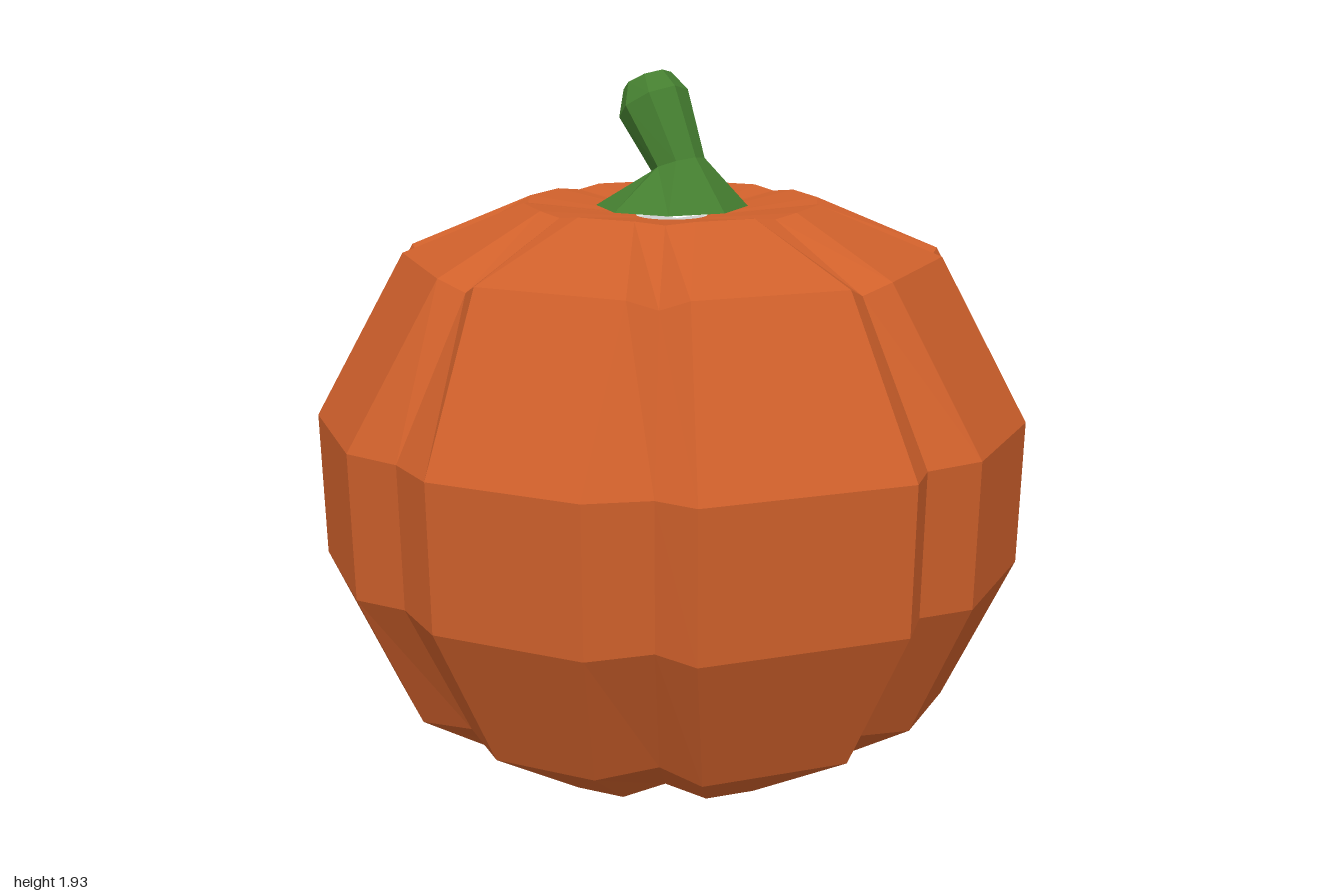
import * as THREE from 'three';

// Rings from bottom to top: height, ridge radius, ridge angle beside groove, groove radius, groove height
const RINGS = [
  [0.09, 0.02, 15, 0.02, 0.09],
  [0.0, 0.47, 14, 0.41, 0.02],
  [0.2, 0.79, 12, 0.73, 0.22],
  [0.6, 0.98, 10, 0.93, 0.61],
  [1.0, 0.99, 10, 0.94, 1.0],
  [1.44, 0.745, 6, 0.71, 1.41],
  [1.58, 0.41, 11, 0.4, 1.57],
  [1.54, 0.1, 15, 0.1, 1.54],
];
const CORE = 0.88, MID = 0.8;

const mirror = (pts) => pts.map(([z, y]) => [-z, y]);
const span = (half) => [...half, ...mirror(half.slice(0, -1)).reverse()];

// Carved outlines as [z, y], with the smaller outline at the bottom of each cut
const eye = [[0.38, 1.24], [0.17, 1.0], [0.37, 0.95], [0.565, 1.02]];
const eyeIn = [[0.41, 1.16], [0.23, 1.02], [0.33, 0.98], [0.53, 1.03]];
const nose = [[0, 1.02], [0.18, 0.76], [0, 0.74], [-0.18, 0.76]];
const noseIn = [[0, 0.98], [0.07, 0.77], [0, 0.76], [-0.07, 0.77]];
const lipTop = span([[0.7, 0.69], [0.56, 0.61], [0.35, 0.56], [0.17, 0.605], [0, 0.57]]);
const lipLow = span([[0.75, 0.66], [0.52, 0.38], [0.3, 0.395], [0.15, 0.3], [0, 0.35]]);
const lipTopIn = span([[0.66, 0.66], [0.54, 0.61], [0.35, 0.56], [0.17, 0.605], [0, 0.57]]);
const lipLowIn = span([[0.65, 0.62], [0.57, 0.44], [0.27, 0.42], [0.12, 0.36], [0, 0.4]]);

// Lobed shell as a list of triangles
function shellTriangles() {
  const rows = RINGS.map(([y, r, off, gr, gy], i) => Array.from({ length: 24 }, (_, j) => {
    const lobe = Math.floor(j / 3), k = j % 3;
    const swollen = (lobe === 2 || lobe === 5) && i >= 2 && i <= 4;
    const o = swollen ? (i === 2 ? 8 : 6) : off;
    const a = THREE.MathUtils.degToRad(lobe * 45 + [0, o, 45 - o][k]);
    const rad = k ? r + (swollen ? 0.015 : 0) : gr;
    return new THREE.Vector3(rad * Math.cos(a), k ? y : gy, rad * Math.sin(a));
  }));
  const tris = [];
  for (let i = 0; i < rows.length - 1; i++) {
    for (let j = 0; j < 24; j++) {
      const n = (j + 1) % 24;
      const a = rows[i][j], b = rows[i + 1][j], c = rows[i + 1][n], d = rows[i][n];
      tris.push([a, b, c], [a, c, d]);
    }
  }
  return tris;
}

// x of the shell's face side at (z, y)
function faceX(tris, z, y) {
  let best = 0;
  for (const [a, b, c] of tris) {
    const d = (b.z - a.z) * (c.y - a.y) - (c.z - a.z) * (b.y - a.y);
    if (Math.abs(d) < 1e-9) continue;
    const u = ((z - a.z) * (c.y - a.y) - (c.z - a.z) * (y - a.y)) / d;
    const v = ((b.z - a.z) * (y - a.y) - (z - a.z) * (b.y - a.y)) / d;
    if (u < -1e-6 || v < -1e-6 || u + v > 1 + 1e-6) continue;
    best = Math.max(best, a.x + u * (b.x - a.x) + v * (c.x - a.x));
  }
  return best;
}

// Part of a polygon where side(p) * sign >= 0
function clip(poly, side, sign) {
  const out = [];
  poly.forEach((p, i) => {
    const q = poly[(i + 1) % poly.length], s = side(p) * sign, t = side(q) * sign;
    if (s >= 0) out.push(p);
    if ((s > 0 && t < 0) || (s < 0 && t > 0)) out.push(p.clone().lerp(q, s / (s - t)));
  });
  return out;
}

// Cut a convex (z, y) hole out of a polygon, leaving the outside pieces
function subtract(poly, hole) {
  let area = 0;
  hole.forEach(([z, y], i) => {
    const [z2, y2] = hole[(i + 1) % hole.length];
    area += z * y2 - z2 * y;
  });
  const pieces = [];
  let rest = poly;
  for (let i = 0; i < hole.length && rest.length > 2; i++) {
    const [z, y] = hole[i], [z2, y2] = hole[(i + 1) % hole.length];
    const side = (p) => ((z2 - z) * (p.y - y) - (y2 - y) * (p.z - z)) * Math.sign(area);
    const outside = clip(rest, side, -1);
    if (outside.length > 2) pieces.push(outside);
    rest = clip(rest, side, 1);
  }
  return rest.length > 2 ? pieces : [poly];
}

function meshOf(name, polys, color, side = THREE.FrontSide) {
  const pos = [];
  for (const p of polys) {
    for (let i = 1; i < p.length - 1; i++) {
      for (const v of [p[0], p[i], p[i + 1]]) pos.push(v.x, v.y, v.z);
    }
  }
  const geo = new THREE.BufferGeometry();
  geo.setAttribute('position', new THREE.Float32BufferAttribute(pos, 3));
  geo.computeVertexNormals();
  const mesh = new THREE.Mesh(geo, new THREE.MeshStandardMaterial({ color, flatShading: true, side }));
  mesh.name = name;
  return mesh;
}

// Sloping sides of a cut, from the skin down to the core
function cutWalls(name, tris, outer, inner, color) {
  const quads = [], steps = 8;
  const mix = (a, b, t) => [a[0] + (b[0] - a[0]) * t, a[1] + (b[1] - a[1]) * t];
  const skin = ([z, y]) => new THREE.Vector3(faceX(tris, z, y), y, z);
  const deep = ([z, y]) =>
    new THREE.Vector3(faceX(tris, z / CORE, (y - MID) / CORE + MID) * CORE - 0.01, y, z);
  outer.forEach((p, i) => {
    const n = (i + 1) % outer.length;
    for (let s = 0; s < steps; s++) {
      const t = s / steps, u = (s + 1) / steps;
      quads.push([skin(mix(p, outer[n], t)), skin(mix(p, outer[n], u)),
        deep(mix(inner[i], inner[n], u)), deep(mix(inner[i], inner[n], t))]);
    }
  });
  return meshOf(name, quads, color, THREE.DoubleSide);
}

// Bent eight-sided stem: each section is height, z, radius, tilt
function stem(color) {
  const sections = [
    [1.565, 0, 0.21, 0], [1.68, 0.025, 0.075, 0.35], [1.84, -0.075, 0.102, 0.55],
    [1.9, -0.1, 0.07, 0.5], [1.915, -0.105, 0.001, 0.5],
  ];
  const rows = sections.map(([y, z, r, tilt]) => Array.from({ length: 8 }, (_, j) => {
    const a = (j * Math.PI) / 4;
    return new THREE.Vector3(r * Math.cos(a), 0, r * Math.sin(a))
      .applyAxisAngle(new THREE.Vector3(1, 0, 0), -tilt).add(new THREE.Vector3(0, y, z));
  }));
  const quads = [];
  for (let i = 0; i < rows.length - 1; i++) {
    for (let j = 0; j < 8; j++) {
      const n = (j + 1) % 8;
      quads.push([rows[i][j], rows[i + 1][j], rows[i + 1][n], rows[i][n]]);
    }
  }
  return meshOf('stem', quads, color);
}

export function createModel() {
  const orange = 0xcf602b, green = 0x457f30;
  const group = new THREE.Group();
  group.name = 'carvedPumpkin';
  const tris = shellTriangles();

  // Skin with the face cut out
  const holes = [eye, mirror(eye), nose];
  for (let i = 0; i < lipTop.length - 1; i++) {
    holes.push([lipTop[i], lipTop[i + 1], lipLow[i + 1]], [lipTop[i], lipLow[i + 1], lipLow[i]]);
  }
  const skin = tris.flatMap((t) => {
    if (t[0].x + t[1].x + t[2].x < 0.6) return [t];
    return holes.reduce((polys, h) => polys.flatMap((p) => subtract(p, h)), [t]);
  });
  group.add(meshOf('skin', skin, orange));

  // Pale core seen through the cuts
  const shrink = (v) => new THREE.Vector3(v.x * CORE, (v.y - MID) * CORE + MID, v.z * CORE);
  group.add(meshOf('core', tris.map((t) => t.map(shrink)), 0xcccccc));

  // Sides of the cuts
  const loop = (top, low) => [...top, ...[...low].reverse()];
  group.add(
    cutWalls('leftEyeCut', tris, mirror(eye), mirror(eyeIn), orange),
    cutWalls('rightEyeCut', tris, eye, eyeIn, orange),
    cutWalls('noseCut', tris, nose, noseIn, orange),
    cutWalls('mouthCut', tris, loop(lipTop, lipLow), loop(lipTopIn, lipLowIn), orange),
    stem(green),
  );
  return group;
}
